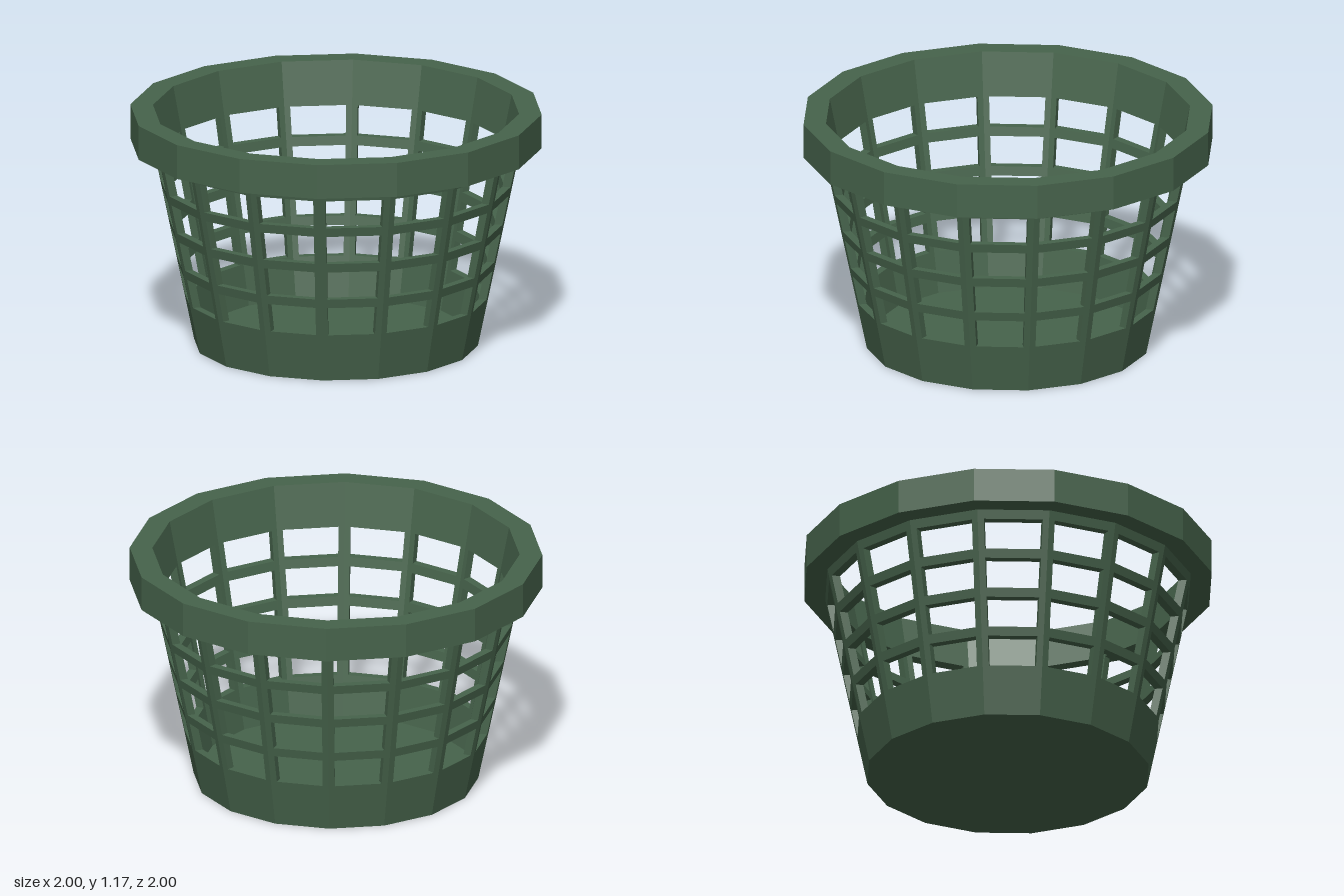
import * as THREE from 'three';

const SIDES = 16;
const HALF = Math.PI / SIDES;
const WALL_TOP = 1.0;
const RIB = 0.03; // half width of an upright rib
const outerR = (y) => 0.69 + 0.207 * y;
const innerR = (y) => 0.652 + 0.2035 * y;

// Faceted copy of a geometry
function flat(geometry) {
  const g = geometry.index ? geometry.toNonIndexed() : geometry;
  g.computeVertexNormals();
  return g;
}

// Trapezoid spanning one side, inset from both corners
function trapezoid(Kind, y0, y1, inset) {
  const w = (y) => outerR(y) * Math.sin(HALF) - inset;
  return new Kind([[-w(y0), y0], [w(y0), y0], [w(y1), y1], [-w(y1), y1]]
    .map(([x, y]) => new THREE.Vector2(x, y)));
}

// One wall panel with four windows, leaned outward along the taper
function panelGeometry() {
  const shape = trapezoid(THREE.Shape, 0, WALL_TOP, 0);
  for (const [y0, y1] of [[0.24, 0.385], [0.43, 0.575], [0.62, 0.765], [0.81, 0.955]]) {
    shape.holes.push(trapezoid(THREE.Path, y0, y1, RIB));
  }
  const g = new THREE.ExtrudeGeometry(shape, { depth: 1, bevelEnabled: false });
  const p = g.attributes.position;
  for (let i = 0; i < p.count; i++) {
    const y = p.getY(i);
    const r = p.getZ(i) > 0.5 ? outerR(y) : innerR(y);
    p.setXYZ(i, p.getX(i) * r / outerR(y), y, r * Math.cos(HALF));
  }
  return flat(g);
}

export function createModel() {
  const green = new THREE.MeshStandardMaterial({ color: 0x46634b });
  green.name = 'dark green plastic';
  const basket = new THREE.Group();
  basket.name = 'basket';

  // Lattice wall
  const wall = new THREE.Group();
  wall.name = 'latticeWall';
  const panel = panelGeometry();
  for (let i = 0; i < SIDES; i++) {
    const mesh = new THREE.Mesh(panel, green);
    mesh.name = 'wallPanel';
    mesh.rotation.y = (2 * i + 1) * HALF;
    wall.add(mesh);
  }
  basket.add(wall);

  // Floor
  const floor = new THREE.Mesh(
    flat(new THREE.CylinderGeometry(innerR(0.04), innerR(0), 0.04, SIDES)), green);
  floor.name = 'floor';
  floor.position.y = 0.02;
  basket.add(floor);

  // Thick rim with a sloping inside face
  const profile = [[innerR(1), 1], [1, 1], [1, 1.17], [innerR(1.17), 1.17], [innerR(1), 1]]
    .map(([r, y]) => new THREE.Vector2(r, y));
  const rim = new THREE.Mesh(flat(new THREE.LatheGeometry(profile, SIDES)), green);
  rim.name = 'rim';
  basket.add(rim);

  return basket;
}
